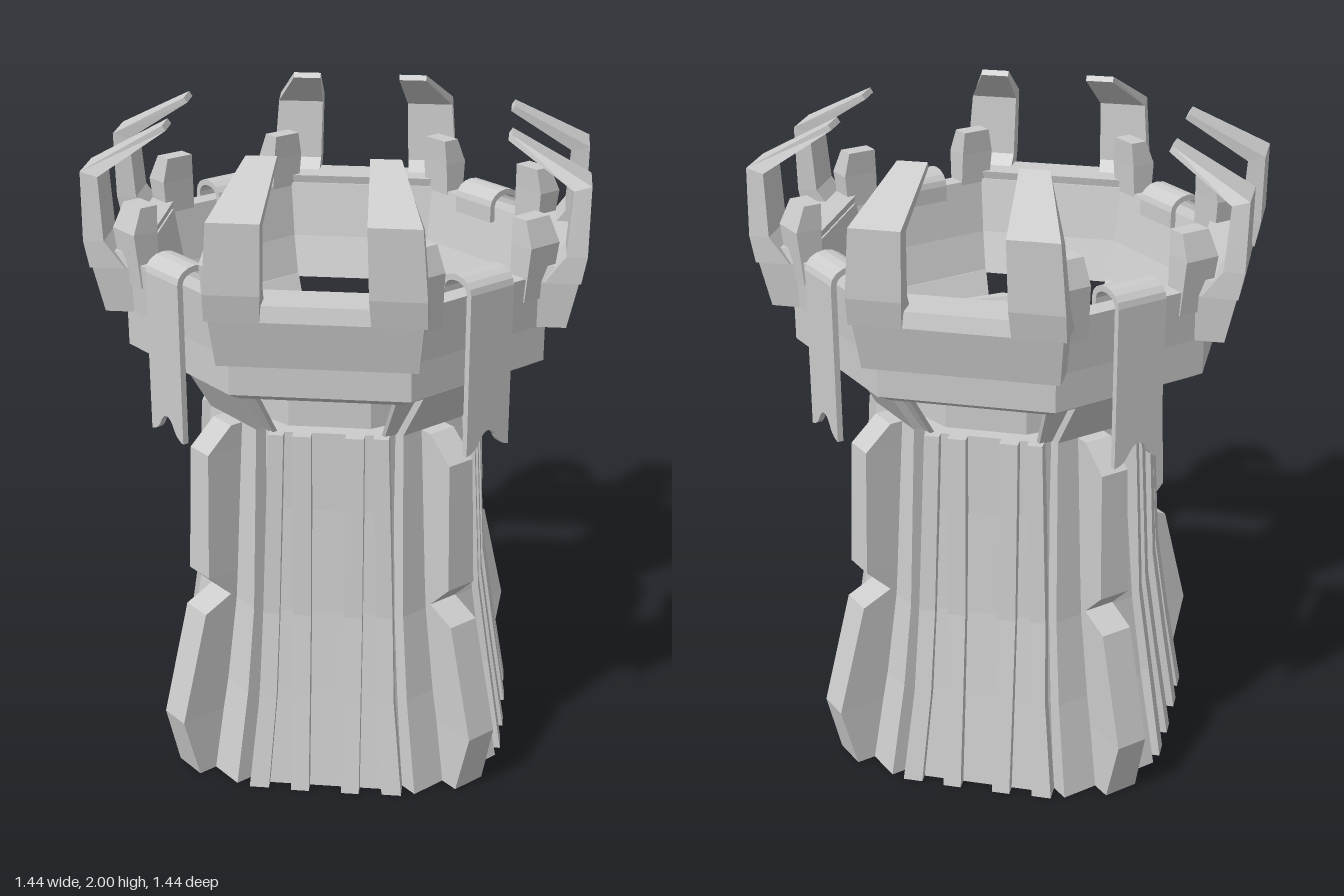
import * as THREE from 'three';

const material = new THREE.MeshStandardMaterial({ color: 0xcccccc, flatShading: true });

function addMesh(parent, name, geometry, angle = 0) {
  const g = geometry.index ? geometry.toNonIndexed() : geometry;
  g.computeVertexNormals();
  const mesh = new THREE.Mesh(g, material);
  mesh.name = name;
  mesh.rotation.y = angle;
  parent.add(mesh);
}

// Solid through four-cornered sections [innerR, innerY, outerR, outerY, t0, t1];
// R runs outward along +z, t runs sideways along x.
function loft(sections) {
  const rings = sections.map(([ri, yi, ro, yo, t0, t1]) =>
    [[t0, yi, ri], [t1, yi, ri], [t1, yo, ro], [t0, yo, ro]]);
  const pos = [];
  const tri = (a, b, c) => pos.push(...a, ...b, ...c);
  for (let s = 0; s < rings.length - 1; s++) {
    const a = rings[s], b = rings[s + 1];
    for (let i = 0; i < 4; i++) {
      const j = (i + 1) % 4;
      tri(a[i], b[i], a[j]);
      tri(a[j], b[i], b[j]);
    }
  }
  const a = rings[0], b = rings[rings.length - 1];
  tri(a[0], a[1], a[2]); tri(a[0], a[2], a[3]);
  tri(b[0], b[2], b[1]); tri(b[0], b[3], b[2]);
  const g = new THREE.BufferGeometry();
  g.setAttribute('position', new THREE.Float32BufferAttribute(pos, 3));
  return g;
}

// Upright block: sections [y, innerR, outerR, t0, t1]
const block = (rows) => loft(rows.map(([y, ri, ro, t0, t1]) => [ri, y, ro, y, t0, t1]));

// Polygonal solid whose radii are measured to the flat sides
function polygonLathe(profile, sides) {
  const k = 1 / Math.cos(Math.PI / sides);
  return new THREE.LatheGeometry(profile.map(([r, y]) => new THREE.Vector2(r * k, y)), sides, Math.PI / sides);
}

// Mirror a [t0, t1] span
const span = (side, a, b) => (side > 0 ? [a, b] : [-b, -a]);

function bannerGeometry() {
  const w = 0.08;
  const s = new THREE.Shape();
  s.moveTo(-w, 1.63);
  s.lineTo(-w, 1.15);
  s.quadraticCurveTo(-0.045, 1.155, -0.03, 1.19);
  s.quadraticCurveTo(0, 1.235, 0.03, 1.19);
  s.quadraticCurveTo(0.045, 1.155, w, 1.15);
  s.lineTo(w, 1.63);
  const g = new THREE.ExtrudeGeometry(s, { depth: 0.018, bevelEnabled: false, curveSegments: 5 });
  g.translate(0, 0, 0.635);
  return g;
}

// Cloth bent over the top of the wall
function bannerFoldGeometry() {
  const rows = [];
  for (let i = 0; i <= 8; i++) {
    const a = (i / 8) * Math.PI, c = Math.cos(a), s = Math.sin(a);
    rows.push([0.59 + 0.045 * c, 1.63 + 0.03 * s, 0.59 + 0.063 * c, 1.63 + 0.048 * s, -0.08, 0.08]);
  }
  rows.push([0.545, 1.58, 0.527, 1.58, -0.08, 0.08]);
  return loft(rows);
}

export function createModel() {
  const model = new THREE.Group();
  model.name = 'tower';

  // Flared octagonal shaft
  addMesh(model, 'shaft', polygonLathe(
    [[0, 0], [0.5, 0], [0.455, 0.3], [0.42, 0.57], [0.395, 0.9], [0.385, 1.145], [0, 1.145]], 8));
  // Ten-sided roof drum
  addMesh(model, 'roof', polygonLathe([[0, 1.16], [0.372, 1.16], [0.372, 1.3], [0, 1.3]], 10));
  // Octagonal parapet with chamfered underside
  addMesh(model, 'parapet', polygonLathe(
    [[0.49, 1.32], [0.56, 1.32], [0.61, 1.35], [0.61, 1.46], [0.62, 1.62], [0.56, 1.62], [0.53, 1.45], [0.49, 1.32]], 8));

  for (let q = 0; q < 4; q++) {
    const face = q * Math.PI / 2;
    const corner = face + Math.PI / 4;

    // Overhanging block on each main side
    addMesh(model, 'overhang', block([
      [1.46, 0.57, 0.67, -0.277, 0.277],
      [1.6, 0.57, 0.7, -0.29, 0.29],
      [1.645, 0.56, 0.69, -0.28, 0.28],
    ]), face);

    // Corner wall flaring out under the parapet
    addMesh(model, 'cornerSupport', block([
      [1.14, 0.375, 0.39, -0.16, 0.16],
      [1.33, 0.49, 0.505, -0.205, 0.205],
    ]), corner);

    // Broad raised corner pilaster that follows the flare
    addMesh(model, 'pilaster', block([
      [0, 0.3, 0.56, -0.17, 0.17],
      [0.3, 0.3, 0.5, -0.155, 0.155],
      [0.57, 0.3, 0.46, -0.14, 0.14],
      [1.145, 0.375, 0.42, -0.115, 0.115],
      [1.33, 0.49, 0.53, -0.115, 0.115],
    ]), corner);

    // Two-stage buttress
    addMesh(model, 'lowerButtress', block([
      [0, 0.4, 0.62, -0.055, 0.055],
      [0.2, 0.4, 0.67, -0.05, 0.05],
      [0.55, 0.4, 0.575, -0.05, 0.05],
      [0.6, 0.4, 0.46, -0.05, 0.05],
    ]), corner);
    addMesh(model, 'upperButtress', block([
      [0.57, 0.38, 0.46, -0.05, 0.05],
      [0.67, 0.38, 0.56, -0.05, 0.05],
      [1.07, 0.38, 0.545, -0.045, 0.045],
      [1.145, 0.38, 0.46, -0.045, 0.045],
    ]), corner);

    // Hanging cloth on each corner
    addMesh(model, 'banner', bannerGeometry(), corner);
    addMesh(model, 'bannerFold', bannerFoldGeometry(), corner);

    for (const side of [-1, 1]) {
      // Vertical ribs on the main sides
      for (const [a, b, taper, out] of [[0.05, 0.105, 1, 0], [0.175, 0.235, 0.75, -0.005]]) {
        addMesh(model, 'rib', block([
          [0, 0.35, 0.535 + out, ...span(side, a, b)],
          [0.3, 0.35, 0.487 + out, ...span(side, a * (1 + taper) / 2, b * (1 + taper) / 2)],
          [0.57, 0.35, 0.447 + out, ...span(side, a * (1 + taper * 2) / 3, b * (1 + taper * 2) / 3)],
          [1.145, 0.35, 0.417 + out, ...span(side, a * taper, b * taper)],
        ]), face);
      }

      // Curved claws rising from the overhang
      addMesh(model, 'claw', loft([
        [0.6, 1.6, 0.705, 1.6, ...span(side, 0.15, 0.3)],
        [0.66, 1.68, 0.72, 1.68, ...span(side, 0.145, 0.3)],
        [0.672, 1.865, 0.722, 1.88, ...span(side, 0.14, 0.285)],
        [0.485, 1.985, 0.495, 2.0, ...span(side, 0.125, 0.21)],
      ]), face);

      // Merlons beside each banner
      addMesh(model, 'merlon', block([
        [1.55, 0.56, 0.62, ...span(side, 0.155, 0.255)],
        [1.71, 0.555, 0.635, ...span(side, 0.16, 0.27)],
        [1.785, 0.55, 0.605, ...span(side, 0.165, 0.255)],
      ]), corner);

      // Small spikes leaning inward over the roof
      addMesh(model, 'roofSpike', loft([
        [0.3, 1.29, 0.385, 1.29, -0.07, 0.07],
        [0.2, 1.3, 0.24, 1.335, -0.045, 0.045],
        [0.13, 1.33, 0.14, 1.355, -0.03, 0.03],
      ]), face + side * 0.44);
    }
  }
  return model;
}
